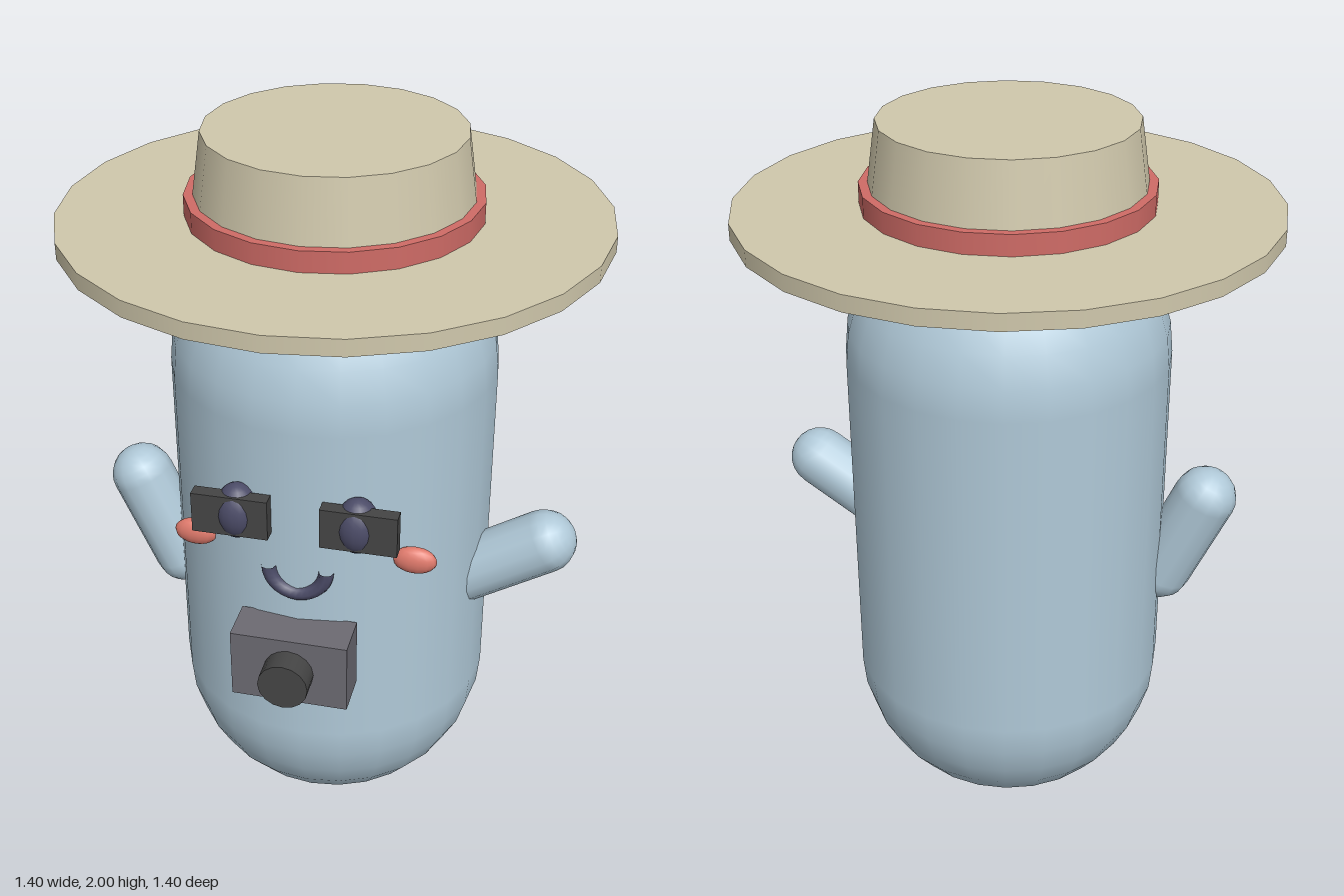
import * as THREE from 'three';

const mat = (name, color) => {
  const m = new THREE.MeshStandardMaterial({ color });
  m.name = name;
  return m;
};

export function createModel() {
  const model = new THREE.Group();
  model.name = 'travellerFigure';

  const blue = mat('paleBlue', 0xb0c9d8);
  const straw = mat('straw', 0xd0c8ac);
  const red = mat('bandRed', 0xcf6b66);
  const coral = mat('cheekCoral', 0xe07a6c);
  const navy = mat('darkNavy', 0x4c4c68);
  const grey = mat('cameraGrey', 0x6c6a72);
  const dark = mat('darkGrey', 0x454545);

  const add = (name, geometry, material, x, y, z) => {
    const mesh = new THREE.Mesh(geometry, material);
    mesh.name = name;
    mesh.position.set(x, y, z);
    model.add(mesh);
    return mesh;
  };

  // Pill-shaped body
  add('body', new THREE.CapsuleGeometry(0.432, 0.94, 8, 24), blue, 0, 0.907, 0);

  // Arms: capsules running from the body to a raised hand
  const arm = (name, hand, angle) => {
    const length = 0.27;
    const x = hand.x + Math.sin(angle) * length / 2;
    const y = hand.y - Math.cos(angle) * length / 2;
    add(name, new THREE.CapsuleGeometry(0.086, length, 6, 14), blue, x, y, 0.068).rotation.z = angle;
  };
  arm('leftArm', new THREE.Vector2(0.593, 0.92), -1.02);
  arm('rightArm', new THREE.Vector2(-0.537, 0.973), 0.42);

  // Hat
  add('hatBrim', new THREE.CylinderGeometry(0.7, 0.7, 0.043, 24), straw, 0, 1.763, 0);
  add('hatCrown', new THREE.CylinderGeometry(0.33, 0.362, 0.22, 20), straw, 0, 1.89, 0);
  add('hatBand', new THREE.CylinderGeometry(0.377, 0.377, 0.056, 20), red, 0, 1.811, 0);

  // Paired face parts
  for (const [side, s] of [['left', 1], ['right', -1]]) {
    add(side + 'Eye', new THREE.SphereGeometry(1, 16, 12), navy, s * 0.155, 1.136, 0.42)
      .scale.set(0.057, 0.077, 0.055);
    add(side + 'Lens', new THREE.BoxGeometry(0.197, 0.112, 0.037), dark, s * 0.165, 1.138, 0.442);
    add(side + 'Cheek', new THREE.SphereGeometry(1, 14, 10), coral, s * 0.29, 1.005, 0.352)
      .scale.set(0.058, 0.038, 0.025);
  }

  // Smile: lower half of a ring
  add('mouth', new THREE.TorusGeometry(0.076, 0.02, 8, 14, Math.PI), navy, 0, 0.983, 0.425)
    .rotation.z = Math.PI;

  // Camera on the chest
  add('cameraBody', new THREE.BoxGeometry(0.308, 0.196, 0.118), grey, 0, 0.728, 0.471);
  add('cameraLens', new THREE.CylinderGeometry(0.066, 0.066, 0.1, 16), dark, 0, 0.728, 0.545)
    .rotation.x = Math.PI / 2;

  return model;
}
